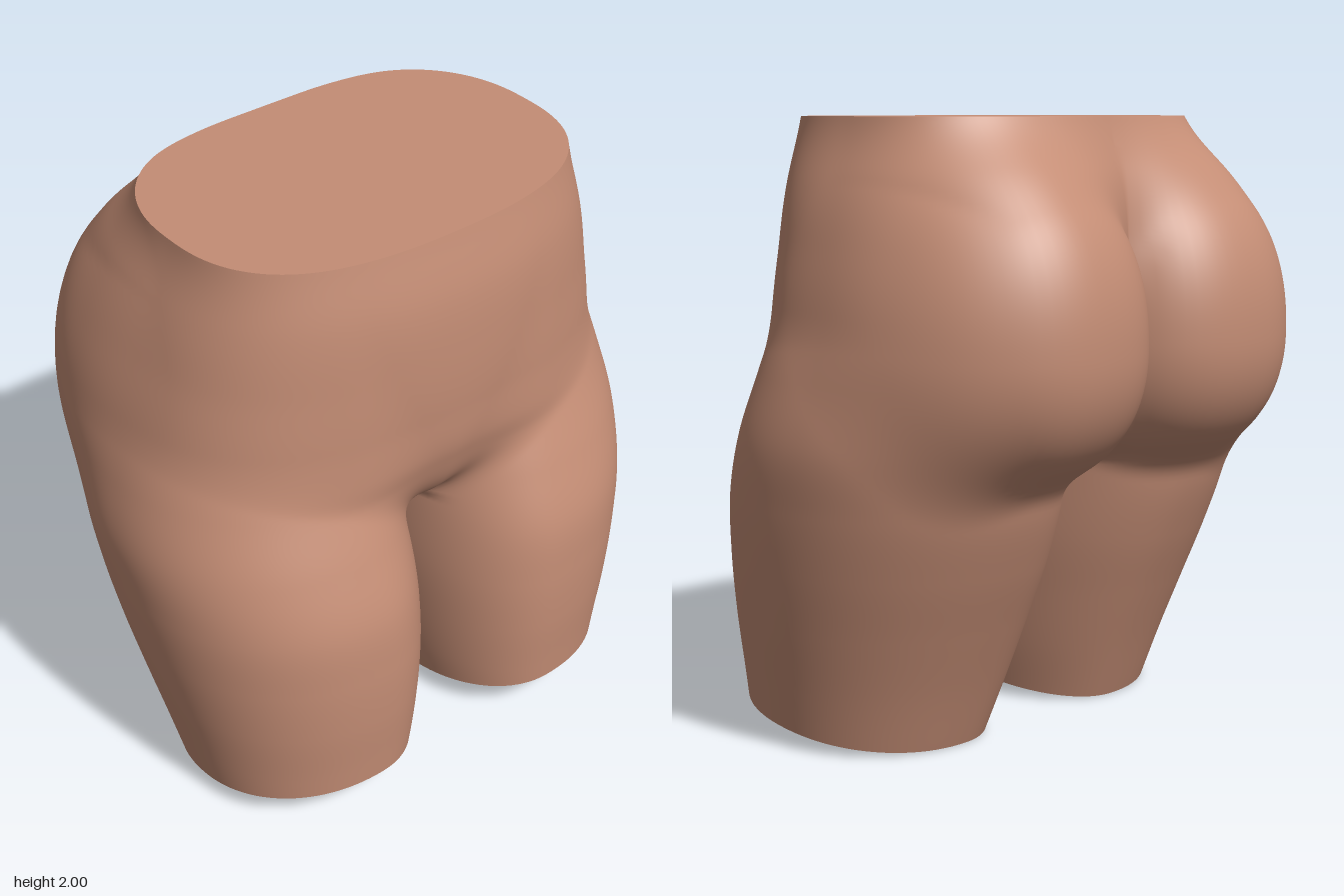
import * as THREE from 'three';
import { mergeVertices } from 'three/addons/utils/BufferGeometryUtils.js';

const ROWS = 120, SIDES = 128;
const AXIS_X = 0.42, AXIS_Z = 0.15;
const { clamp, smoothstep } = THREE.MathUtils;

// Profiles, one value every 0.2 units of height from y = 0 to y = 2
const thigh = {
  outer: [0.785, 0.825, 0.865, 0.9, 0.925, 0.935, 0.9, 0.84, 0.77, 0.68, 0.5],
  inner: [0.1, 0.06, 0.035, 0.02, 0.022, 0.03, 0.06, 0.12, 0.2, 0.28, 0.3],
  front: [0.69, 0.705, 0.72, 0.722, 0.705, 0.64, 0.56, 0.49, 0.42, 0.35, 0.25],
  back: [-0.12, -0.2, -0.285, -0.37, -0.44, -0.475, -0.48, -0.46, -0.37, -0.25, -0.1],
};
const torso = {
  side: [0, 0, 0, 0, 0, 0.2, 0.56, 0.69, 0.71, 0.695, 0.68],
  front: [0.2, 0.2, 0.2, 0.2, 0.2, 0.48, 0.58, 0.605, 0.61, 0.598, 0.555],
  back: [-0.3, -0.3, -0.3, -0.3, -0.3, -0.38, -0.45, -0.46, -0.46, -0.44, -0.385],
};

// Smooth interpolation in a profile
function at(list, y) {
  const s = clamp(y / 0.2, 0, 10);
  const i = Math.min(Math.floor(s), 9), t = s - i;
  const a = list[i], b = list[i + 1];
  const m0 = i > 0 ? (b - list[i - 1]) / 2 : b - a;
  const m1 = i < 9 ? (list[i + 2] - a) / 2 : b - a;
  const t2 = t * t, t3 = t2 * t;
  return a * (2 * t3 - 3 * t2 + 1) + m0 * (t3 - 2 * t2 + t) + b * (3 * t2 - 2 * t3) + m1 * (t3 - t2);
}

function blend(a, b, k) {
  const h = Math.max(k - Math.abs(a - b), 0) / k;
  return Math.min(a, b) - h * h * k / 4;
}

const norm = (n, a, b) => Math.pow(Math.pow(Math.abs(a), n) + Math.pow(Math.abs(b), n), 1 / n);

// Signed field of the left half: negative inside
function field(x, y, z) {
  // Pelvis and belly, narrowing to the crotch
  const a = Math.max(at(torso.side, y), 0.01);
  const tf = at(torso.front, y), tb = at(torso.back, y);
  const tr = (tf - tb) / 2;
  const square = 2.2 + 0.35 * smoothstep(y, 1.2, 1.9);
  let pelvis = (norm(square, x / a, (z - (tf + tb) / 2) / tr) - 1) * Math.min(a, tr);
  pelvis += Math.max(0, 0.89 - y) * 5;

  // Thigh, fuller towards the inner front
  const o = at(thigh.outer, y), i = at(thigh.inner, y);
  const f = at(thigh.front, y), b = at(thigh.back, y);
  const cx = i + (o - i) * 0.4, rz = (f - b) / 2;
  const rx = x > cx ? o - cx : cx - i;
  const leg = (norm(2.15, (x - cx) / rx, (z - (f + b) / 2) / rz) - 1) * (o - i) / 2;

  // Buttock, round on the outside and fuller towards the cleft
  const profile = norm(2.2, (y - 1.3) / (y > 1.3 ? 0.58 : 0.46), (z + 0.25) / 0.47);
  const seat = (norm(x > 0.4 ? 2 : 2.5, (x - 0.4) / (x > 0.4 ? 0.42 : 0.44), profile) - 1) * 0.45;

  // Soft transitions at the hips and lower back, tighter folds below
  const hipBlend = 0.08 + 0.1 * smoothstep(y, 0.92, 1.25);
  const seatBlend = 0.06 + 0.12 * Math.max(smoothstep(x, 0.4, 0.8), smoothstep(y, 1.5, 1.85));
  return blend(blend(pelvis, leg, hipBlend), seat, seatBlend);
}

// Last inside distance along a line
function reach(inside, max) {
  let lo = 0, hi = max;
  for (let k = 0; k < 26; k++) {
    const mid = (lo + hi) / 2;
    if (inside(mid)) lo = mid; else hi = mid;
  }
  return lo;
}

// Rows follow the slanted thigh cut at the bottom and level out above
const rowHeight = (t, z) => 2 * t + Math.max(0, 1 - t / 0.4) * (0.019 + 0.158 * z);

function surfacePoint(t, angle) {
  const c = Math.cos(angle), s = Math.sin(angle);
  const value = (x, z) => field(x, rowHeight(t, z), z);
  const toMiddle = c < -1e-6 ? AXIS_X / -c : Infinity;
  let x, z;
  if (toMiddle < 1.1 && value(0, AXIS_Z + toMiddle * s) < 0) {
    // Halves meet here: slide along the middle plane to its front or back edge
    const dir = s < 0 ? -1 : 1;
    x = 0;
    z = AXIS_Z + dir * reach((r) => value(0, AXIS_Z + dir * r) < 0, 1);
  } else {
    const r = reach((d) => value(AXIS_X + c * d, AXIS_Z + s * d) < 0, Math.min(toMiddle, 1.1));
    x = AXIS_X + c * r;
    z = AXIS_Z + s * r;
  }
  return [x, rowHeight(t, z), z];
}

// Adds a triangle and its mirror image
function addPair(out, a, b, c) {
  if (a[0] < 1e-4 && b[0] < 1e-4 && c[0] < 1e-4) return;
  const flip = (p) => [-p[0], p[1], p[2]];
  out.push(...a, ...b, ...c, ...flip(a), ...flip(c), ...flip(b));
}

function toMesh(positions, name, material) {
  let geometry = new THREE.BufferGeometry();
  geometry.setAttribute('position', new THREE.Float32BufferAttribute(positions, 3));
  geometry = mergeVertices(geometry, 1e-4);
  geometry.computeVertexNormals();
  const mesh = new THREE.Mesh(geometry, material);
  mesh.name = name;
  return mesh;
}

export function createModel() {
  const material = new THREE.MeshStandardMaterial({ color: 0xc48d75 });
  const rings = [];
  for (let j = 0; j <= ROWS; j++) {
    const ring = [];
    for (let i = 0; i < SIDES; i++) ring.push(surfacePoint(j / ROWS, (i / SIDES) * Math.PI * 2));
    rings.push(ring);
  }

  const skin = [], waist = [], cuts = [];
  const waistCentre = [0, 2, 0.09];
  const cutCentre = [0.44, rowHeight(0, 0.29), 0.29];
  for (let i = 0; i < SIDES; i++) {
    const n = (i + 1) % SIDES;
    for (let j = 0; j < ROWS; j++) {
      const lower = rings[j], upper = rings[j + 1];
      addPair(skin, lower[i], upper[i], lower[n]);
      addPair(skin, upper[i], upper[n], lower[n]);
    }
    // Flat ends
    addPair(waist, waistCentre, rings[ROWS][n], rings[ROWS][i]);
    addPair(cuts, cutCentre, rings[0][i], rings[0][n]);
  }

  const group = new THREE.Group();
  group.name = 'lowerBodyForm';
  group.add(
    toMesh(skin, 'hipsAndThighs', material),
    toMesh(waist, 'waistCap', material),
    toMesh(cuts, 'thighCaps', material),
  );
  return group;
}
